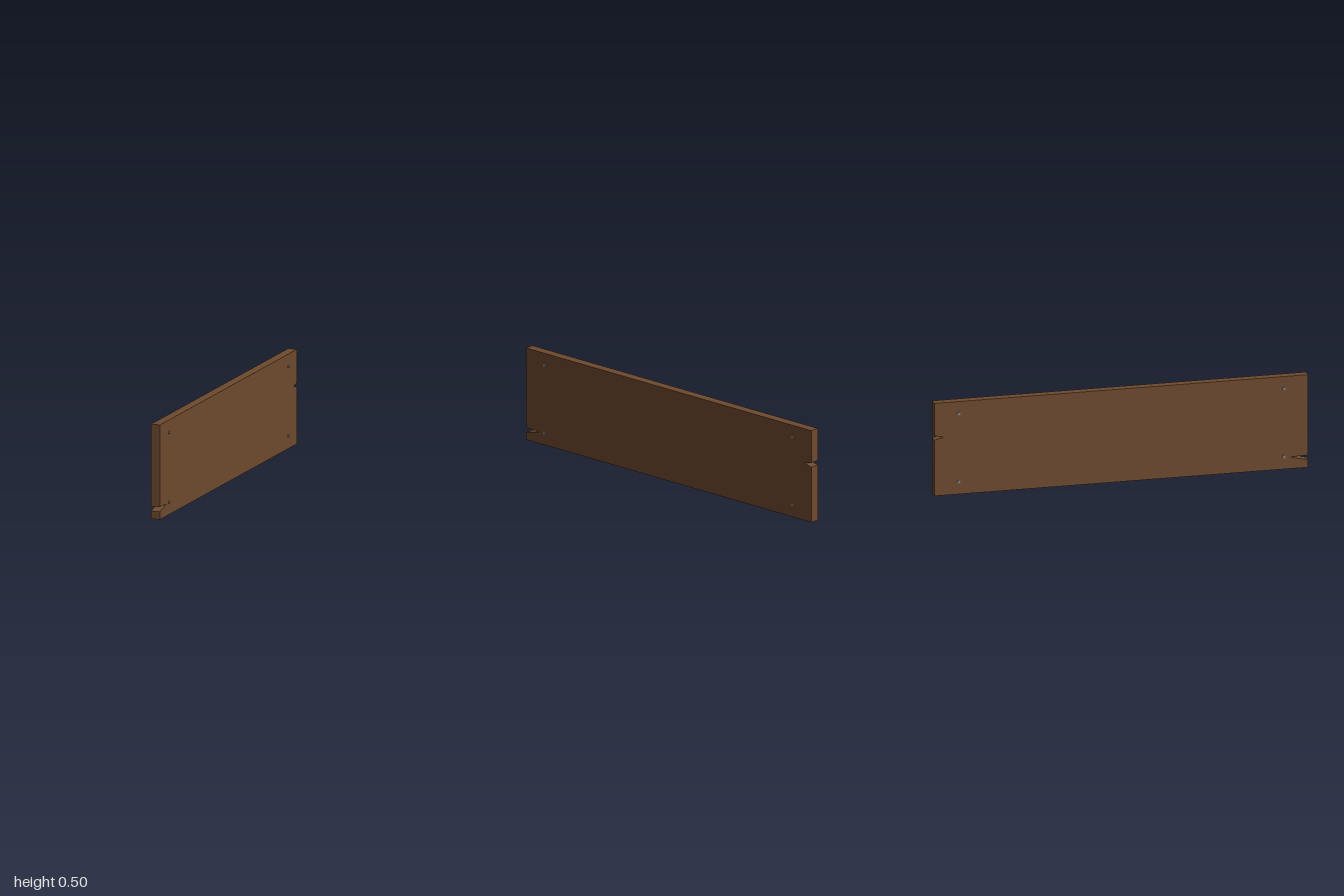
import * as THREE from 'three';

const THICKNESS = 0.05;

export function createModel() {
  const group = new THREE.Group();
  const wood = new THREE.MeshStandardMaterial({ color: 0x6f4a2e, flatShading: true });
  const metal = new THREE.MeshStandardMaterial({ color: 0x808080, flatShading: true });

  // Plank: side outline as (z, y), with a split notch in each end
  const outline = new THREE.Shape([
    [-1, 0], [1, 0],
    [1, 0.041], [0.9, 0.063], [1, 0.066],
    [1, 0.5], [-1, 0.5],
    [-1, 0.325], [-0.95, 0.313], [-1, 0.301],
  ].map(([z, y]) => new THREE.Vector2(z, y)));
  const plankGeometry = new THREE.ExtrudeGeometry(outline, { depth: THICKNESS, bevelEnabled: false });
  plankGeometry.translate(0, 0, -THICKNESS / 2).rotateY(-Math.PI / 2);
  const plank = new THREE.Mesh(plankGeometry, wood);
  plank.name = 'plank';
  group.add(plank);

  // Nails: one through each corner, standing slightly proud of both faces
  const nailGeometry = new THREE.CylinderGeometry(0.0085, 0.0085, 0.06, 8).rotateZ(Math.PI / 2);
  for (const z of [-0.87, 0.87]) {
    for (const y of [0.067, 0.435]) {
      const nail = new THREE.Mesh(nailGeometry, metal);
      nail.name = 'nail';
      nail.position.set(0, y, z);
      group.add(nail);
    }
  }
  return group;
}
